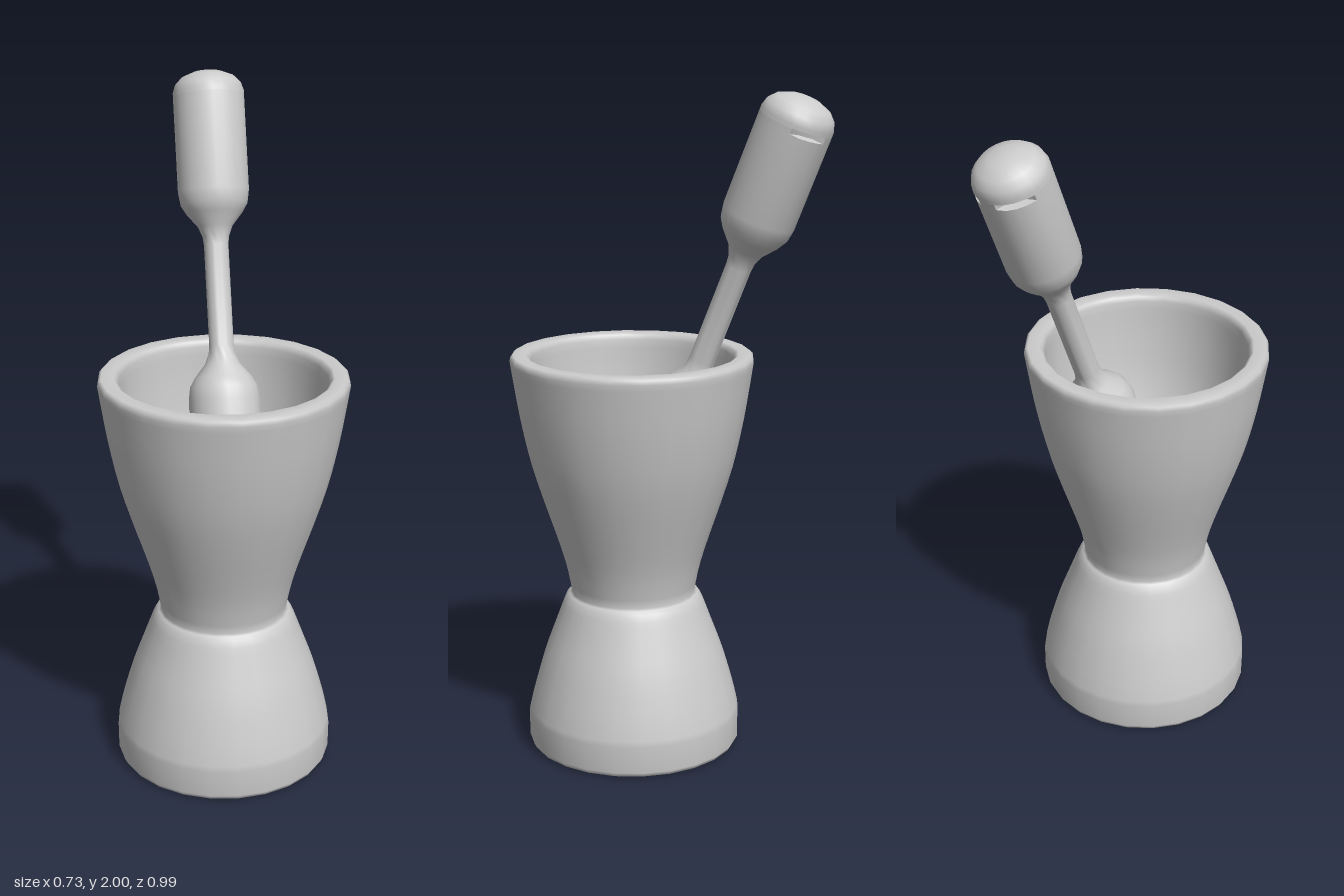
import * as THREE from 'three';
import { toCreasedNormals } from 'three/addons/utils/BufferGeometryUtils.js';

const SIDES = 24;
const TILT = THREE.MathUtils.degToRad(22);

const vecs = (points) => points.map(([r, y]) => new THREE.Vector2(r, y));
// Smooth curve through a few profile points
const smooth = (points, n) => new THREE.SplineCurve(vecs(points)).getPoints(n);

function makeMesh(name, geometry) {
  const material = new THREE.MeshStandardMaterial({ color: 0xcccccc });
  const mesh = new THREE.Mesh(geometry, material);
  mesh.name = name;
  return mesh;
}

function createMortar() {
  const foot = smooth([[0.326, 0.1], [0.31, 0.17], [0.278, 0.28], [0.245, 0.37], [0.215, 0.45]], 12);
  const cup = smooth([[0.188, 0.485], [0.205, 0.57], [0.232, 0.66], [0.272, 0.78],
    [0.308, 0.9], [0.336, 1.03], [0.354, 1.14], [0.364, 1.205]], 18);
  const bowl = smooth([[0.304, 1.205], [0.295, 1.08], [0.272, 0.93], [0.222, 0.79],
    [0.13, 0.69], [0, 0.655]], 18);
  const profile = [
    ...vecs([[0, 0], [0.305, 0], [0.318, 0.005], [0.325, 0.018]]),
    ...foot,
    ...vecs([[0.206, 0.47], [0.196, 0.48]]),
    ...cup,
    ...vecs([[0.362, 1.218], [0.354, 1.225], [0.318, 1.225], [0.309, 1.219]]),
    ...bowl,
  ];
  const mortar = makeMesh('mortar', new THREE.LatheGeometry(profile, SIDES));
  mortar.position.z = 0.13;
  return mortar;
}

function createPestle() {
  // Handle and grinding head mirror each other about the middle of the shaft
  const middle = 0.155;
  const half = [[0.037, 0.15], [0.04, 0.175], [0.052, 0.205], [0.085, 0.245], [0.101, 0.272], [0.107, 0.31]];
  const cap = [[0.107, 0.605], [0.099, 0.63], [0.08, 0.65], [0.045, 0.665], [0, 0.67]];
  const slotRows = [0.576, 0.579, 0.593, 0.596];
  const upper = [...half, ...slotRows.map((y) => [0.107, y]), ...cap];
  const lower = [...half, ...cap].map(([r, y]) => [r, -y]).reverse();
  const profile = vecs([...lower, ...upper]);
  const geometry = new THREE.LatheGeometry(profile, SIDES);

  // Press a thin cord slot into both rear sides of the handle
  const pos = geometry.attributes.position;
  for (let i = 0; i < pos.count; i++) {
    const y = pos.getY(i);
    if (y < 0.578 || y > 0.594) continue;
    const fromBack = Math.abs(Math.atan2(pos.getX(i), -pos.getZ(i)));
    if (fromBack < 0.5 || fromBack > 1.1) continue;
    pos.setX(i, pos.getX(i) * 0.75);
    pos.setZ(i, pos.getZ(i) * 0.75);
  }
  geometry.translate(0, middle, 0);

  const pestle = makeMesh('pestle', toCreasedNormals(geometry, 0.8));
  pestle.position.set(0.027, 1.225, -0.106);
  pestle.rotation.x = -TILT;
  return pestle;
}

export function createModel() {
  const group = new THREE.Group();
  group.name = 'mortarAndPestle';
  group.add(createMortar(), createPestle());
  return group;
}
